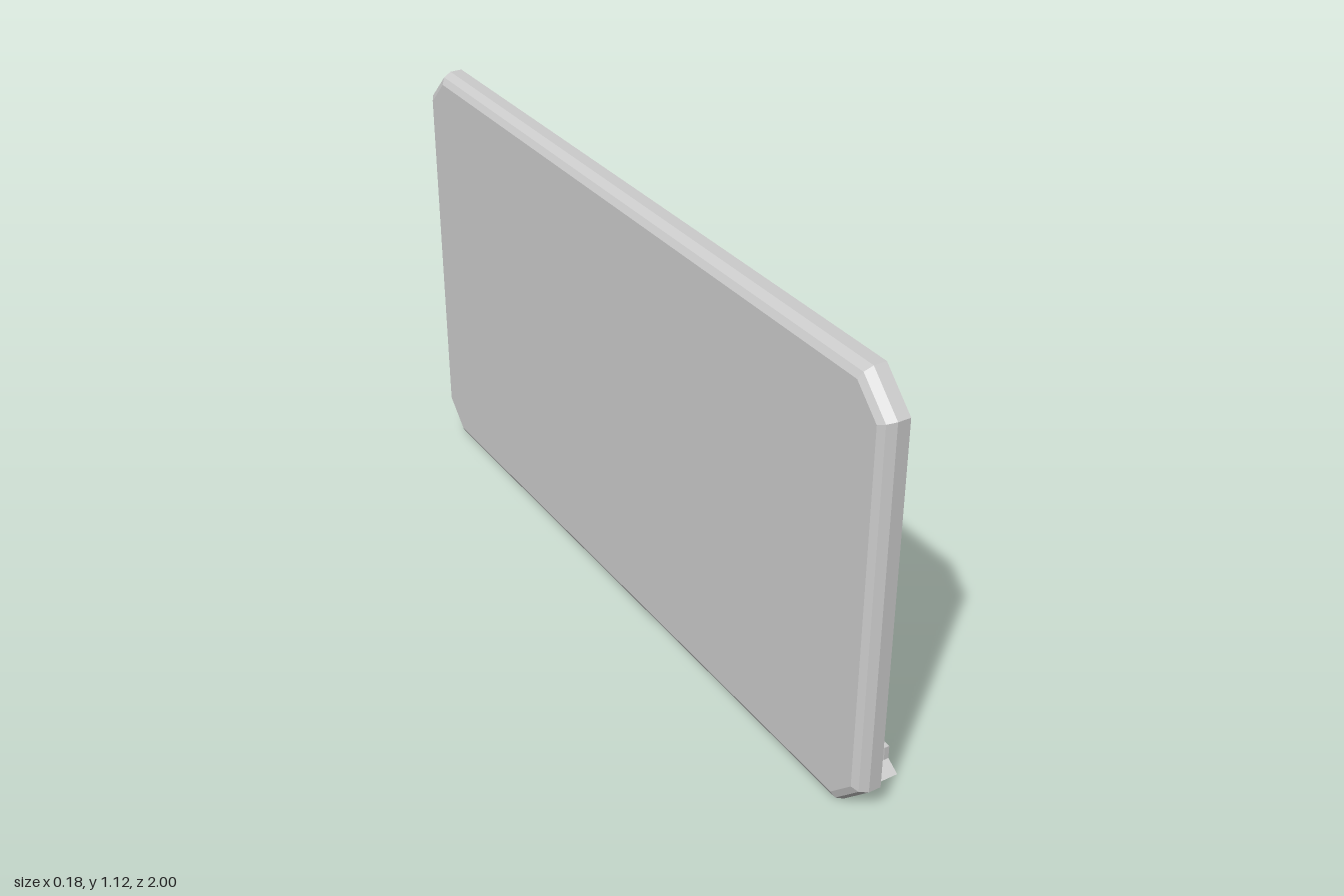
import * as THREE from 'three';

const material = new THREE.MeshStandardMaterial({ color: 0xcccccc, flatShading: true });
const HEIGHT = 1.12;

function addMesh(parent, name, geometry, x = 0, y = 0, z = 0) {
  const mesh = new THREE.Mesh(geometry, material);
  mesh.name = name;
  mesh.position.set(x, y, z);
  parent.add(mesh);
  return mesh;
}

// Eight-sided outline at depth x, counter-clockwise as seen from +x
function octagon(x, insetZ, insetY, cut) {
  const w = 1 - insetZ, top = HEIGHT - insetY, low = insetY;
  return [
    [w, low + cut], [w, top - cut], [w - cut, top], [cut - w, top],
    [-w, top - cut], [-w, low + cut], [cut - w, low], [w - cut, low],
  ].map(([u, y]) => new THREE.Vector3(x, y, -u));
}

// Joins successive outlines and caps both ends
function loft(rings) {
  const points = [];
  const n = rings[0].length, last = rings[rings.length - 1];
  for (let r = 0; r < rings.length - 1; r++) {
    const a = rings[r], b = rings[r + 1];
    for (let i = 0; i < n; i++) {
      const j = (i + 1) % n;
      points.push(a[i], b[i], b[j], a[i], b[j], a[j]);
    }
  }
  for (let i = 1; i < n - 1; i++) {
    points.push(rings[0][0], rings[0][i], rings[0][i + 1]);
    points.push(last[0], last[i + 1], last[i]);
  }
  const geometry = new THREE.BufferGeometry().setFromPoints(points);
  geometry.computeVertexNormals();
  return geometry;
}

function extrude(profile, depth) {
  const shape = new THREE.Shape(profile.map(([x, y]) => new THREE.Vector2(x, y)));
  return new THREE.ExtrudeGeometry(shape, { depth, bevelEnabled: false });
}

// Marker lying on the tray: six-sided barrel with a clip along one side
function createMarker(name, x, z, turn) {
  const marker = new THREE.Group();
  marker.name = name;
  marker.position.set(x, 0.022, z);
  marker.rotation.y = turn;
  addMesh(marker, 'markerBarrel', new THREE.CylinderGeometry(0.009, 0.009, 0.09, 6).rotateX(Math.PI / 2), -0.009, 0.012, 0);
  const clip = addMesh(marker, 'markerClip', new THREE.BoxGeometry(0.01, 0.02, 0.088), 0.01, 0.021, 0);
  clip.rotation.z = 0.5;
  addMesh(marker, 'clipBridge', new THREE.BoxGeometry(0.016, 0.006, 0.012), 0.001, 0.017, -0.035);
  return marker;
}

export function createModel() {
  const model = new THREE.Group();
  model.name = 'whiteboard';

  // Board: recessed writing surface, raised rim, bevelled back
  addMesh(model, 'board', loft([
    octagon(-0.065, 0.04, 0.02, 0.08),
    octagon(-0.03, 0.04, 0.02, 0.08),
    octagon(-0.03, 0, 0, 0.085),
    octagon(-0.062, 0, 0, 0.085),
    octagon(-0.083, 0.01, 0.01, 0.079),
    octagon(-0.092, 0.027, 0.027, 0.069),
  ]));

  // Tray with sloping ends and an upright lip
  const tray = new THREE.Group();
  tray.name = 'tray';
  model.add(tray);
  addMesh(tray, 'trayShelf', extrude(
    [[-0.915, 0], [0.915, 0], [0.88, 0.022], [-0.88, 0.022]], 0.121,
  ).rotateY(Math.PI / 2), -0.031, 0, 0);
  addMesh(tray, 'trayLip', new THREE.BoxGeometry(0.013, 0.037, 1.76), 0.0835, 0.0395, 0);

  // Eraser: felt pad under a rounded grip
  const eraser = new THREE.Group();
  eraser.name = 'eraser';
  eraser.position.set(0.025, 0, -0.002);
  model.add(eraser);
  addMesh(eraser, 'eraserFelt', new THREE.BoxGeometry(0.064, 0.016, 0.156), 0, 0.03, 0);
  addMesh(eraser, 'eraserGrip', extrude([
    [-0.037, 0.037], [0.037, 0.037], [0.037, 0.062], [0.034, 0.073], [0.026, 0.08],
    [0.016, 0.083], [-0.016, 0.083], [-0.026, 0.08], [-0.034, 0.073], [-0.037, 0.062],
  ], 0.162), 0, 0, -0.081);

  // Two markers, one on each side of the eraser
  model.add(createMarker('leftMarker', 0.002, 0.217, -0.08));
  model.add(createMarker('rightMarker', 0.019, -0.3, -0.13));

  return model;
}
